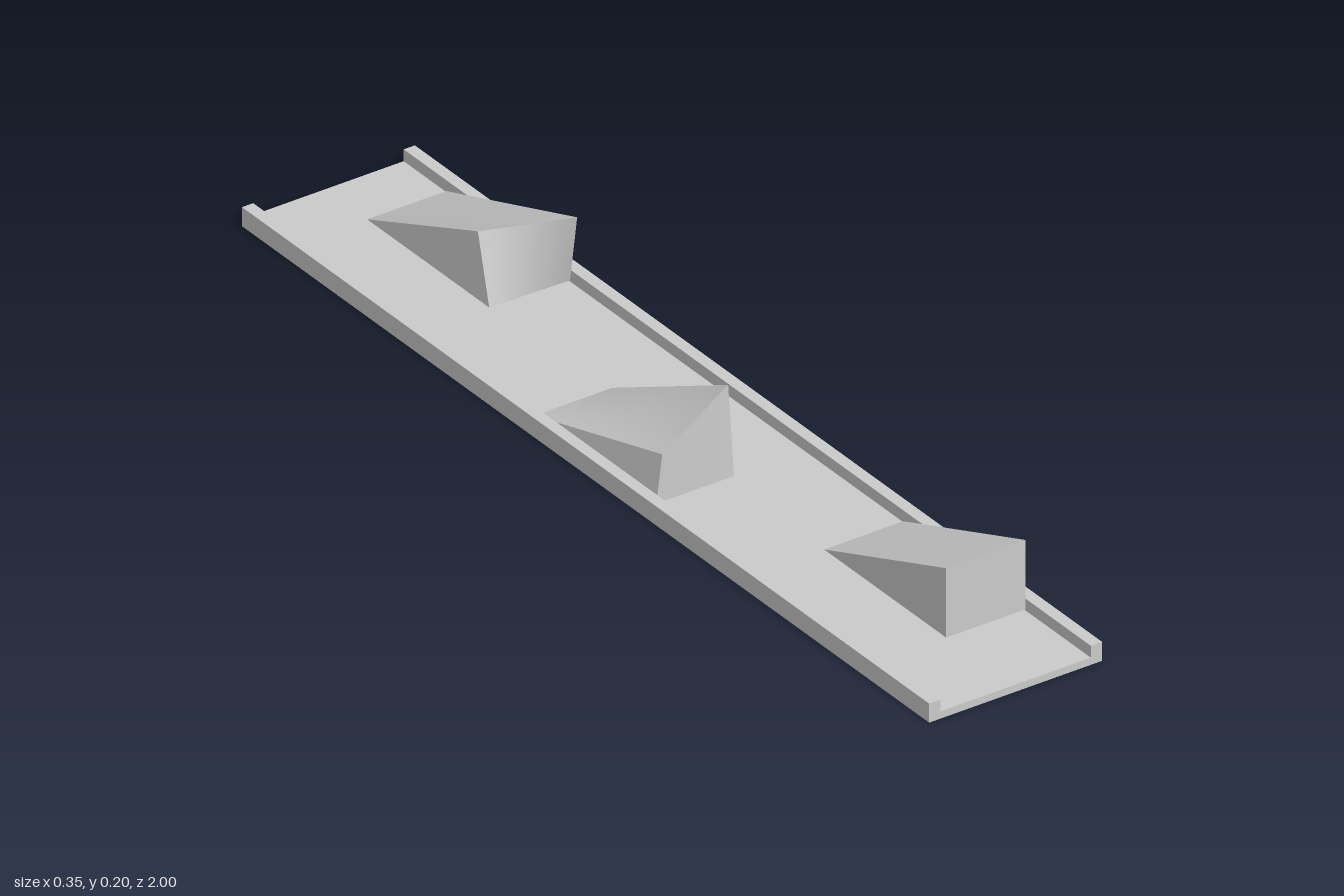
import * as THREE from 'three';

const grey = new THREE.MeshStandardMaterial({ color: 0xcccccc });
grey.name = 'plain grey';

// Shallow U-shaped channel running the full length
function makeTrack() {
  const w = 0.177, inner = 0.154, floor = 0.014, top = 0.037;
  const profile = new THREE.Shape([
    [-w, 0], [w, 0], [w, top], [inner, top], [inner, floor],
    [-inner, floor], [-inner, top], [-w, top],
  ].map(([x, y]) => new THREE.Vector2(x, y)));
  const geo = new THREE.ExtrudeGeometry(profile, { depth: 2, bevelEnabled: false });
  geo.translate(0, 0, -1);
  const mesh = new THREE.Mesh(geo, grey);
  mesh.name = 'track';
  return mesh;
}

// Wedge from six corners: a box whose back face closes to an edge.
// The sloped top is blended between its corners, so it may twist.
function makeRamp(name, { topL, topR, frontL, frontR, backL, backR }) {
  const geo = new THREE.BoxGeometry(1, 1, 1, 8, 1, 8);
  const pos = geo.attributes.position;
  const v = (p) => new THREE.Vector3(...p);
  for (let i = 0; i < pos.count; i++) {
    const u = pos.getX(i) + 0.5, t = pos.getZ(i) + 0.5;
    const upper = pos.getY(i) > 0;
    const front = v(upper ? topL : frontL).lerp(v(upper ? topR : frontR), u);
    const p = v(backL).lerp(v(backR), u).lerp(front, t);
    pos.setXYZ(i, p.x, p.y, p.z);
  }
  geo.computeVertexNormals();
  const mesh = new THREE.Mesh(geo, grey);
  mesh.name = name;
  return mesh;
}

export function createModel() {
  const model = new THREE.Group();
  model.name = 'rampTrack';
  const y = 0.02; // underside of the ramps
  model.add(
    makeTrack(),
    // Straight ramp at the front
    makeRamp('frontRamp', {
      topL: [-0.012, 0.155, 0.815], topR: [0.15, 0.155, 0.815],
      frontL: [-0.012, y, 0.815], frontR: [0.15, y, 0.815],
      backL: [-0.012, y, 0.46], backR: [0.15, y, 0.46],
    }),
    // Ramp with a top leaning to one side
    makeRamp('middleRamp', {
      topL: [-0.143, 0.112, 0.175], topR: [-0.006, 0.199, 0.172],
      frontL: [-0.155, y, 0.175], frontR: [0.004, y, 0.175],
      backL: [-0.155, y, -0.18], backR: [0.004, y, -0.18],
    }),
    // Ramp with a skewed, overhanging lip
    makeRamp('backRamp', {
      topL: [-0.007, 0.147, -0.555], topR: [0.14, 0.163, -0.475],
      frontL: [-0.012, y, -0.515], frontR: [0.15, y, -0.51],
      backL: [-0.012, y, -0.87], backR: [0.15, y, -0.87],
    }),
  );
  return model;
}
